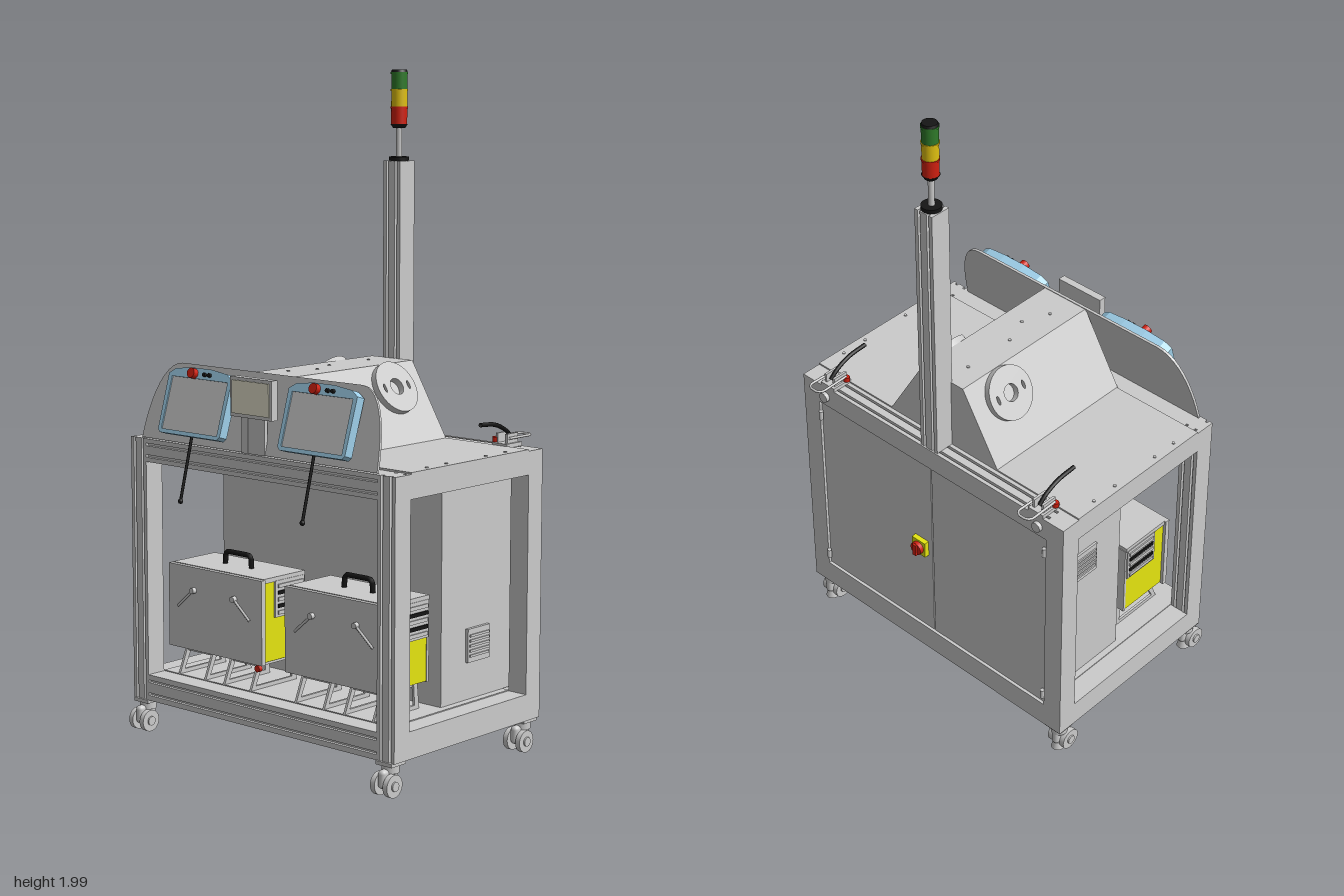
import * as THREE from 'three';
import { RoundedBoxGeometry } from 'three/addons/geometries/RoundedBoxGeometry.js';

const mat = (color) => new THREE.MeshStandardMaterial({ color, side: THREE.DoubleSide });
const GREY = mat(0xcccccc), BLACK = mat(0x151515), RED = mat(0xd02010), YELLOW = mat(0xe6e610);
const BLUE = mat(0x9fd0ea), CREAM = mat(0xe8e6d0), AMBER = mat(0xe0c010), GREEN = mat(0x2f7a2a);

function add(parent, name, geo, m = GREY, x = 0, y = 0, z = 0) {
  const mesh = new THREE.Mesh(geo, m);
  mesh.name = name;
  mesh.position.set(x, y, z);
  parent.add(mesh);
  return mesh;
}
// Box given by its minimum and maximum on each axis
function box(parent, name, [x0, x1], [y0, y1], [z0, z1], m) {
  return add(parent, name, new THREE.BoxGeometry(x1 - x0, y1 - y0, z1 - z0), m,
    (x0 + x1) / 2, (y0 + y1) / 2, (z0 + z1) / 2);
}
function group(parent, name, x = 0, y = 0, z = 0) {
  const g = new THREE.Group();
  g.name = name;
  g.position.set(x, y, z);
  parent.add(g);
  return g;
}
const cyl = (r, h, n = 20, r2 = r) => new THREE.CylinderGeometry(r2, r, h, n);
const cylZ = (r, h, n) => cyl(r, h, n).rotateX(Math.PI / 2);
const cylX = (r, h, n) => cyl(r, h, n).rotateZ(Math.PI / 2);
const poly = (pts) => new THREE.Shape(pts.map(([x, y]) => new THREE.Vector2(x, y)));
const extrude = (shape, depth) =>
  new THREE.ExtrudeGeometry(shape, { depth, bevelEnabled: false, curveSegments: 10 }).translate(0, 0, -depth / 2);
const tube = (pts, r, smooth = true) => new THREE.TubeGeometry(
  new THREE.CatmullRomCurve3(pts.map((p) => new THREE.Vector3(...p)), false, 'catmullrom', smooth ? 0.5 : 0.05), 24, r, 8);

// Aluminium profile along z with two slots in its +y and -y faces
function profile(w, h, len) {
  const edge = [[-w / 2, h / 2]];
  for (const c of [-w / 4, w / 4]) {
    const s = 0.004, d = h / 2 - 0.01;
    edge.push([c - s, h / 2], [c - s, d], [c + s, d], [c + s, h / 2]);
  }
  edge.push([w / 2, h / 2]);
  return extrude(poly([...edge, ...edge.map(([x, y]) => [-x, -y])]), len);
}
const post = (w, d, len) => profile(w, d, len).rotateX(Math.PI / 2);
const rail = (h, d, len) => post(h, d, len).rotateZ(Math.PI / 2);

function buildFrame(root) {
  const f = group(root, 'frame');
  for (const s of [-1, 1]) {
    add(f, 'frontPost', post(0.065, 0.065, 0.805), GREY, s * 0.4925, 0.5075, 0.2875);
    box(f, 'rearPost', [s * 0.4925 - 0.0325, s * 0.4925 + 0.0325], [0.105, 0.91], [-0.335, -0.27]);
    for (const [a, b] of [[0.105, 0.185], [0.84, 0.91]])
      box(f, 'sideRail', [s * 0.4925 - 0.0325, s * 0.4925 + 0.0325], [a, b], [-0.27, 0.255]);
  }
  add(f, 'frontTopRail', rail(0.07, 0.065, 0.92), GREY, 0, 0.875, 0.2875);
  add(f, 'frontBottomRail', rail(0.08, 0.065, 0.92), GREY, 0, 0.145, 0.2875);
  add(f, 'rearTopRail', profile(0.065, 0.07, 0.92).rotateY(Math.PI / 2), GREY, 0, 0.875, -0.3025);
  box(f, 'rearBottomRail', [-0.46, 0.46], [0.105, 0.185], [-0.335, -0.27]);
  box(f, 'floorPlate', [-0.46, 0.46], [0.178, 0.188], [-0.27, 0.255]);
  box(f, 'tableTop', [-0.525, 0.525], [0.908, 0.915], [-0.27, 0.252]);
  for (const x of [-0.505, 0.505]) for (const z of [-0.185, -0.095, 0.08, 0.165])
    add(f, 'screw', cyl(0.005, 0.004, 10), GREY, x, 0.916, z);
}

function buildCaster(root, x, z) {
  const c = group(root, 'caster', x, 0, z);
  box(c, 'mountPlate', [-0.03, 0.03], [0.095, 0.106], [-0.03, 0.03]);
  add(c, 'swivel', cyl(0.025, 0.025), GREY, 0, 0.085, 0);
  add(c, 'hood', new RoundedBoxGeometry(0.026, 0.055, 0.07, 3, 0.012), GREY, 0, 0.058, 0.01);
  for (const s of [-1, 1]) {
    add(c, 'wheel', cylX(0.033, 0.016, 28), GREY, s * 0.023, 0.04, 0.018);
    add(c, 'hub', cylX(0.014, 0.006, 16), GREY, s * 0.033, 0.04, 0.018);
  }
  add(c, 'levellingFoot', cyl(0.02, 0.025, 20, 0.014), GREY, 0, 0.02, -0.005);
}

function buildCabinet(root) {
  const c = group(root, 'cabinet');
  box(c, 'housing', [-0.44, 0.437], [0.188, 0.825], [-0.315, 0.015]);
  for (const s of [-1, 1]) {
    box(c, 'rearDoor', s < 0 ? [-0.46, -0.002] : [0.002, 0.46], [0.186, 0.84], [-0.326, -0.314]);
    // louvred vent
    const v = group(c, 'sideVent', s * 0.442, s > 0 ? 0.35 : 0.615, -0.145);
    box(v, 'ventPlate', [-0.005, 0.005], [-0.05, 0.05], [-0.05, 0.05]);
    for (let i = 0; i < 5; i++)
      box(v, 'slat', [-0.009, 0.009], [-0.034 + i * 0.015, -0.027 + i * 0.015], [-0.043, 0.043]);
    add(c, 'doorLock', cylZ(0.016, 0.012), GREY, s * 0.43, 0.875, -0.341);
    for (const y of [0.23, 0.79]) add(c, 'hinge', cyl(0.007, 0.03, 12), GREY, s * 0.455, y, -0.336);
  }
  box(c, 'switchPlate', [0.018, 0.072], [0.483, 0.537], [-0.342, -0.326], YELLOW);
  add(c, 'switchKnob', cylZ(0.021, 0.014), RED, 0.045, 0.51, -0.348);
  box(c, 'switchGrip', [0.038, 0.052], [0.49, 0.53], [-0.362, -0.354], RED);
}

function buildController(root, x) {
  const c = group(root, 'controller', x, 0, 0);
  box(c, 'body', [-0.185, 0.185], [0.275, 0.515], [0.065, 0.238], YELLOW);
  box(c, 'frontDoor', [-0.195, 0.195], [0.27, 0.525], [0.236, 0.252]);
  box(c, 'lid', [-0.19, 0.19], [0.513, 0.527], [0.06, 0.238]);
  box(c, 'backPlate', [-0.187, 0.187], [0.272, 0.515], [0.058, 0.067]);
  for (const s of [-1, 1]) {
    // ventilation block on each side
    const v = group(c, 'vent', s * 0.188, 0, 0);
    box(v, 'ventPlate', [-0.004, 0.004], [0.405, 0.515], [0.065, 0.19]);
    for (let i = 0; i < 5; i++)
      box(v, 'slat', [-0.008, 0.008], [0.413 + i * 0.02, 0.424 + i * 0.02], [0.072, 0.18], i % 2 ? BLACK : GREY);
    // splayed feet with an open middle
    const leg = poly([[-0.255, 0], [-0.06, 0], [-0.07, 0.085], [-0.22, 0.085]]);
    leg.holes.push(poly([[-0.235, 0.012], [-0.205, 0.075], [-0.085, 0.075], [-0.08, 0.012]]));
    for (const o of [-0.055, 0.055])
      add(c, 'foot', extrude(leg, 0.008).rotateY(Math.PI / 2), GREY, s * 0.095 + o, 0.188, 0);
    box(c, 'footBar', [s * 0.095 - 0.055, s * 0.095 + 0.055], [0.255, 0.275], [0.08, 0.22]);
    add(c, 'latchBar', tube([[s * 0.085, 0.455, 0.258], [s * 0.15, 0.4, 0.258]], 0.004), GREY);
    add(c, 'latchKnob', cylZ(0.009, 0.016, 14), GREY, s * 0.085, 0.455, 0.258);
  }
  add(c, 'carryHandle', tube([[-0.055, 0.525, 0.15], [-0.053, 0.556, 0.15], [-0.043, 0.565, 0.15],
    [0.043, 0.565, 0.15], [0.053, 0.556, 0.15], [0.055, 0.525, 0.15]], 0.008, false), BLACK);
  add(c, 'stopButton', cylZ(0.01, 0.014, 16), RED, 0.17, 0.257, 0.24);
}

function buildHood(root) {
  const h = group(root, 'hood');
  add(h, 'hoodBody', extrude(poly([[-0.215, 0.912], [0.215, 0.912], [0.08, 1.137], [-0.08, 1.137]]), 0.525),
    GREY, 0, 0, -0.0075);
  for (const [x, z] of [[-0.02, -0.185], [-0.02, -0.01], [0.015, 0.08], [-0.02, 0.165]])
    add(h, 'screw', cyl(0.005, 0.004, 10), GREY, x, 1.138, z);
  // ring flanges on both slopes
  const ring = new THREE.Shape().absarc(0, 0, 0.081, 0, Math.PI * 2);
  ring.holes.push(new THREE.Path().absarc(0, 0, 0.026, 0, Math.PI * 2));
  for (const a of [0, Math.PI])
    ring.holes.push(new THREE.Path().absellipse(Math.cos(a) * 0.052, 0, 0.005, 0.014, 0, Math.PI * 2));
  for (const s of [-1, 1]) {
    const n = new THREE.Vector3(s * 0.857, 0.514, 0);
    const m = add(h, 'flange', new THREE.ExtrudeGeometry(ring, { depth: 0.02, bevelEnabled: false, curveSegments: 40 }),
      GREY, s * 0.122, 1.067, -0.132);
    m.lookAt(m.position.clone().add(n));
  }
}

function buildConsole(root) {
  const c = group(root, 'console');
  // leaning panel with rounded shoulders
  const p = new THREE.Shape();
  p.moveTo(-0.48, 0);
  p.bezierCurveTo(-0.475, 0.13, -0.43, 0.235, -0.36, 0.235);
  p.lineTo(0.35, 0.235);
  p.bezierCurveTo(0.42, 0.235, 0.45, 0.13, 0.455, 0);
  p.closePath();
  add(c, 'leaningPanel', extrude(p, 0.008), GREY, 0, 0.912, 0.312).rotation.x = -0.24;

  const rim = poly([[-0.128, -0.09], [-0.118, -0.1], [0.118, -0.1], [0.128, -0.09], [0.13, 0.078],
    [0.105, 0.094], [0.04, 0.102], [-0.04, 0.102], [-0.105, 0.094], [-0.13, 0.078]]);
  rim.holes.push(poly([[-0.115, -0.088], [-0.115, 0.07], [0.115, 0.07], [0.115, -0.088]]));
  for (const s of [-1, 1]) {
    const t = group(c, 'handTerminal', s * 0.243, 1.036, 0.313);
    t.rotation.x = -0.3;
    add(t, 'bezel', extrude(rim, 0.03), BLUE);
    box(t, 'display', [-0.116, 0.116], [-0.089, 0.072], [-0.012, 0.011]);
    box(t, 'rearCover', [-0.09, 0.09], [-0.06, 0.06], [-0.028, -0.012]);
    add(t, 'stopButton', cylZ(0.015, 0.02), RED, -0.025, 0.084, 0.022);
    for (const x of [0.02, 0.04]) add(t, 'keySwitch', cylZ(0.006, 0.012, 12), BLACK, x, 0.084, 0.018);
    add(c, 'cable', tube([[s * 0.243, 0.95, 0.338], [s * 0.243, 0.75, 0.39]], 0.0045), BLACK);
    add(c, 'cableTip', new THREE.SphereGeometry(0.008, 12, 8), BLACK, s * 0.243, 0.757, 0.388);
  }
  // central touch panel on its bracket
  box(c, 'touchPanel', [-0.082, 0.082], [1.02, 1.135], [0.318, 0.342]);
  box(c, 'touchScreen', [-0.073, 0.073], [1.03, 1.126], [0.34, 0.346], CREAM);
  box(c, 'panelBracket', [-0.06, -0.035], [0.912, 1.08], [0.255, 0.32]);
  box(c, 'bracketWeb', [-0.035, 0.03], [0.912, 1.03], [0.305, 0.318]);
}

function buildLatch(root, x, s) {
  const l = group(root, 'toggleClamp', x, 0, 0);
  box(l, 'base', [-0.028, 0.028], [0.91, 0.922], [-0.335, -0.265]);
  for (const o of [-0.017, 0.017]) box(l, 'cheek', [o - 0.004, o + 0.004], [0.92, 0.95], [-0.325, -0.275]);
  add(l, 'lever', tube([[0, 0.935, -0.32], [0, 0.96, -0.29], [0, 0.98, -0.24], [0, 0.986, -0.175]], 0.0065), BLACK);
  add(l, 'hookLoop', tube([[-0.024, 0.937, -0.28], [-0.026, 0.937, -0.375], [-0.015, 0.937, -0.39],
    [0.015, 0.937, -0.39], [0.026, 0.937, -0.375], [0.024, 0.937, -0.28]], 0.004, false));
  add(l, 'release', cyl(0.01, 0.015, 14), RED, -0.026 , 0.93, -0.28);
}

function buildTower(root) {
  const t = group(root, 'signalTower', 0, 0, -0.298);
  add(t, 'column', post(0.066, 0.066, 0.82), GREY, 0, 1.32, 0);
  add(t, 'columnCap', cyl(0.03, 0.012), BLACK, 0, 1.736, 0);
  add(t, 'pole', cyl(0.009, 0.1), GREY, 0, 1.785, 0);
  add(t, 'lampBase', cyl(0.018, 0.012, 24, 0.026), BLACK, 0, 1.833, 0);
  [RED, AMBER, GREEN].forEach((m, i) => {
    add(t, 'lamp', cyl(0.024, 0.046, 28), m, 0, 1.862 + i * 0.051, 0);
    add(t, 'lampRing', cyl(0.026, 0.006, 28), m, 0, 1.888 + i * 0.051, 0);
  });
  add(t, 'lampCap', cyl(0.025, 0.008, 28, 0.022), BLACK, 0, 1.996, 0);
}

export function createModel() {
  const root = new THREE.Group();
  root.name = 'workstation';
  buildFrame(root);
  for (const x of [-0.49, 0.49]) for (const z of [0.295, -0.298]) buildCaster(root, x, z);
  buildCabinet(root);
  for (const x of [-0.243, 0.24]) buildController(root, x);
  buildHood(root);
  buildConsole(root);
  for (const s of [-1, 1]) buildLatch(root, s * 0.42);
  buildTower(root);
  return root;
}
